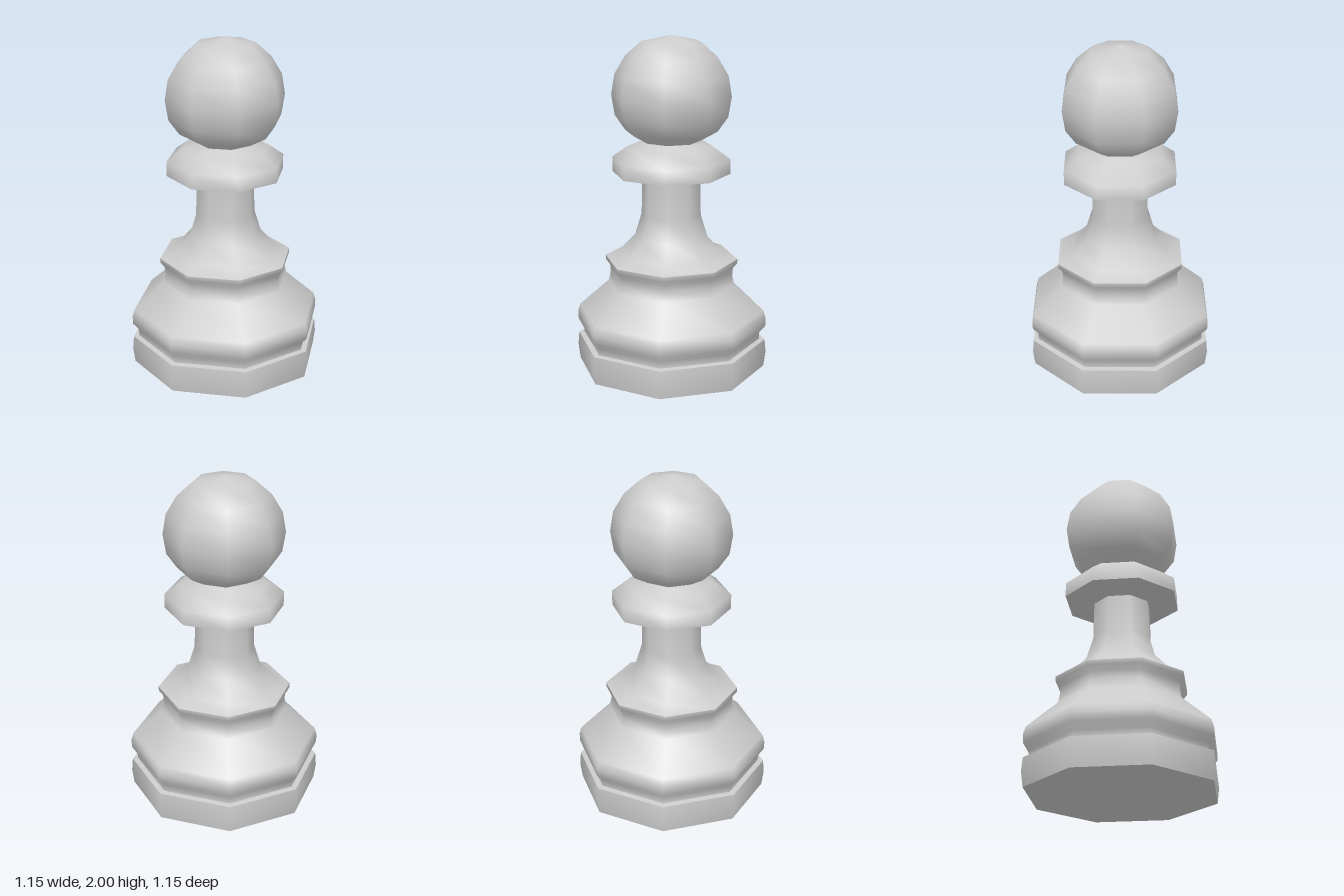
import * as THREE from 'three';

const SIDES = 8;

export function createModel() {
  const group = new THREE.Group();
  group.name = 'chessPawn';
  const material = new THREE.MeshStandardMaterial({ color: 0xcccccc });

  // Each part is a turned profile of [radius, height] points, from bottom to top;
  // separate profiles meet in a sharp edge.
  const turn = (name, profile) => {
    const points = profile.map(([r, y]) => new THREE.Vector2(r, y));
    const mesh = new THREE.Mesh(new THREE.LatheGeometry(points, SIDES), material);
    mesh.name = name;
    group.add(mesh);
  };

  // Foot: flat underside, rim and the ledge above it
  turn('underside', [[0, 0], [0.565, 0]]);
  turn('footRim', [[0.565, 0], [0.577, 0.09], [0.57, 0.17]]);
  turn('footLedge', [[0.57, 0.17], [0.537, 0.175]]);

  // Swelling body with a groove below and a waist above
  turn('body', [
    [0.537, 0.175], [0.537, 0.215], [0.572, 0.255], [0.574, 0.305], [0.56, 0.352],
    [0.38, 0.515], [0.368, 0.57], [0.372, 0.615], [0.397, 0.645], [0.398, 0.672],
  ]);

  // Shoulder flowing into the slim stem
  turn('stem', [
    [0.398, 0.672], [0.31, 0.71], [0.217, 0.81], [0.177, 0.94], [0.172, 1.17],
  ]);

  // Collar
  turn('collarUnderside', [[0.172, 1.168], [0.349, 1.193]]);
  turn('collar', [[0.349, 1.193], [0.349, 1.28], [0.26, 1.345], [0.175, 1.38], [0.17, 1.4]]);

  // Ball head
  turn('head', [
    [0.17, 1.385], [0.272, 1.443], [0.333, 1.53], [0.352, 1.65],
    [0.332, 1.77], [0.268, 1.878], [0.172, 1.963], [0, 2],
  ]);

  return group;
}
